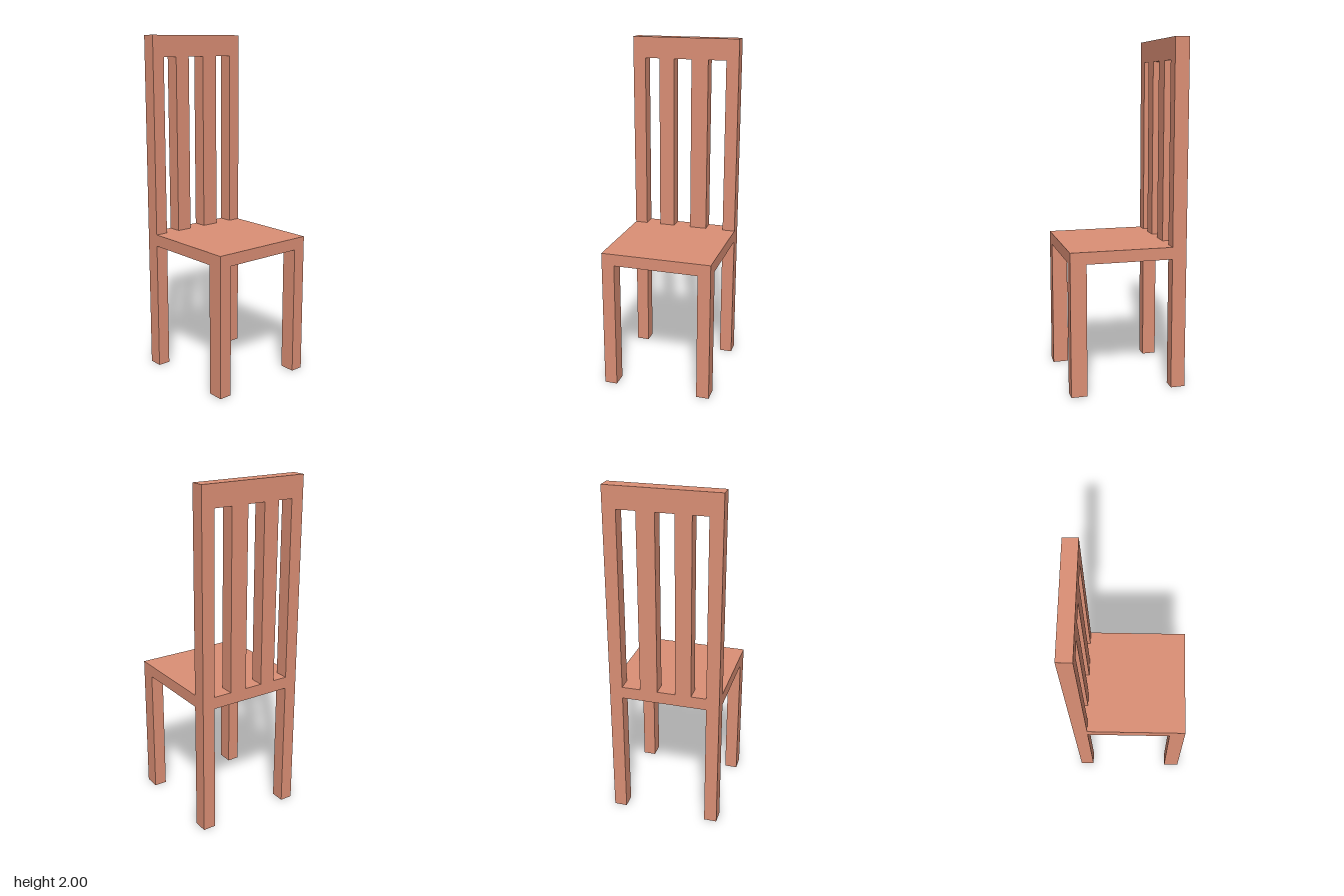
import * as THREE from 'three';

const W = 0.323, INNER = 0.248;          // half width, inner face of the posts
const BACK = -0.337, BACK_FRONT = -0.254, FRONT = 0.337;
const SEAT_BOTTOM = 0.766, SEAT_TOP = 0.836, RAIL_BOTTOM = 1.876, TOP = 2;

export function createModel() {
  const chair = new THREE.Group();
  chair.name = 'chair';
  const material = new THREE.MeshStandardMaterial({ color: 0xdb8f75 });

  const add = (name, geometry) => {
    const mesh = new THREE.Mesh(geometry, material);
    mesh.name = name;
    chair.add(mesh);
    return mesh;
  };
  const addBox = (name, x0, x1, y0, y1, z0, z1) =>
    add(name, new THREE.BoxGeometry(x1 - x0, y1 - y0, z1 - z0))
      .position.set((x0 + x1) / 2, (y0 + y1) / 2, (z0 + z1) / 2);

  // Back frame: rear legs, posts, slats and top rail in one board
  const outline = new THREE.Shape([
    [-W, 0], [-INNER, 0], [-INNER, SEAT_BOTTOM], [INNER, SEAT_BOTTOM],
    [INNER, 0], [W, 0], [W, TOP], [-W, TOP],
  ].map(([x, y]) => new THREE.Vector2(x, y)));

  // Three openings leave two slats between the posts
  for (const [x0, x1] of [[-INNER, -0.16], [-0.068, 0.038], [0.14, INNER]]) {
    outline.holes.push(new THREE.Path([
      [x0, SEAT_TOP], [x0, RAIL_BOTTOM], [x1, RAIL_BOTTOM], [x1, SEAT_TOP],
    ].map(([x, y]) => new THREE.Vector2(x, y))));
  }
  add('backFrame', new THREE.ExtrudeGeometry(outline, {
    depth: BACK_FRONT - BACK, bevelEnabled: false,
  })).position.z = BACK;

  // Seat, flush with the back frame and front legs
  addBox('seat', -W, W, SEAT_BOTTOM, SEAT_TOP, BACK_FRONT, FRONT);

  // Front legs
  addBox('frontLegLeft', INNER, W, 0, SEAT_BOTTOM, 0.244, FRONT);
  addBox('frontLegRight', -W, -INNER, 0, SEAT_BOTTOM, 0.244, FRONT);

  return chair;
}
